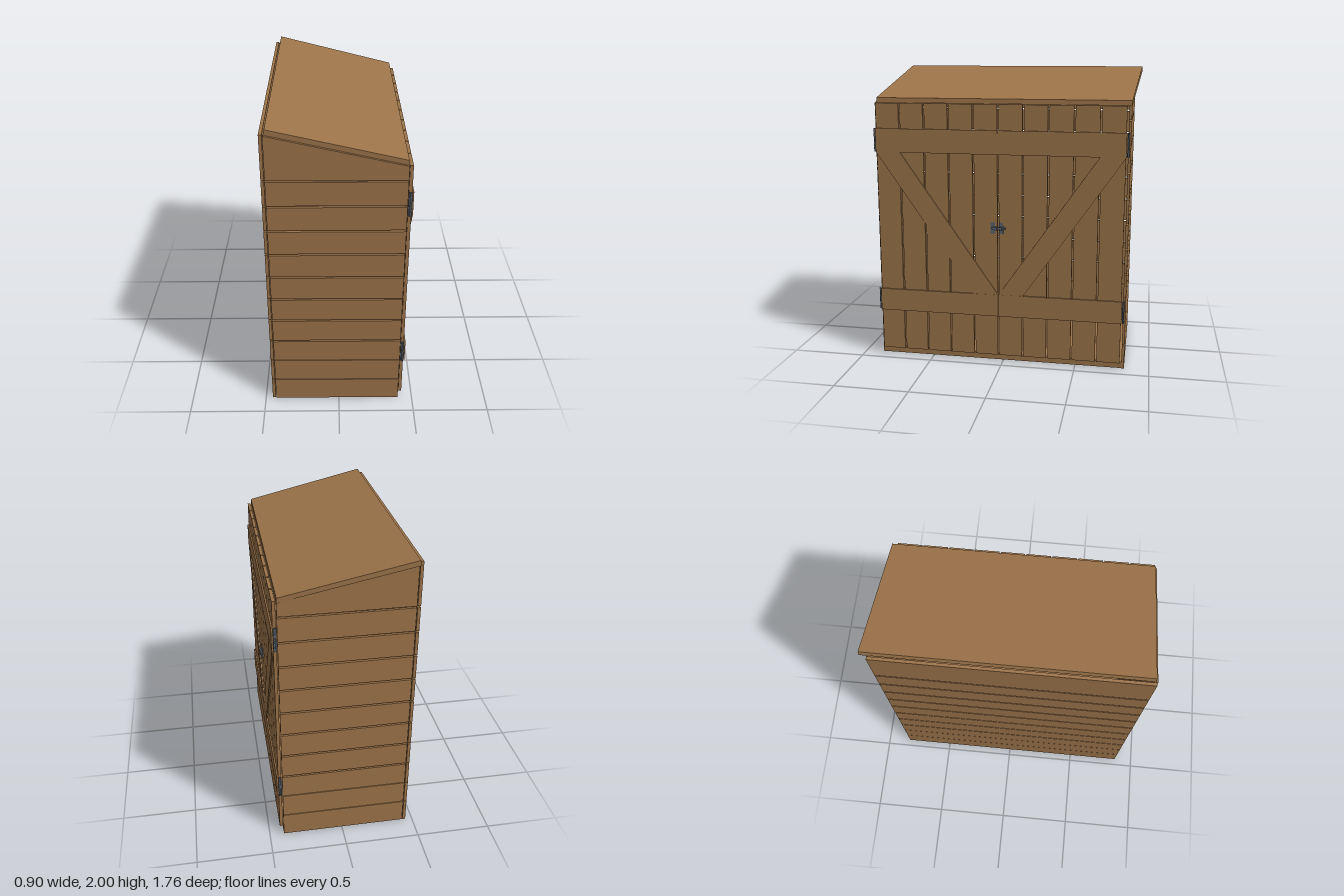
import * as THREE from 'three';

const wood = new THREE.MeshStandardMaterial({ color: 0x9e754a });
wood.name = 'wood';
const steel = new THREE.MeshStandardMaterial({ color: 0x5c6670 });
steel.name = 'steel';

// Box given by its minimum and maximum corners
function slab(name, x0, x1, y0, y1, z0, z1, material = wood) {
  const mesh = new THREE.Mesh(new THREE.BoxGeometry(x1 - x0, y1 - y0, z1 - z0), material);
  mesh.position.set((x0 + x1) / 2, (y0 + y1) / 2, (z0 + z1) / 2);
  mesh.name = name;
  return mesh;
}

function extruded(points, depth) {
  const shape = new THREE.Shape(points.map(([x, y]) => new THREE.Vector2(x, y)));
  return new THREE.ExtrudeGeometry(shape, { depth, bevelEnabled: false });
}

function named(name) {
  const group = new THREE.Group();
  group.name = name;
  return group;
}

export function createModel() {
  const shed = named('toolShed');
  const pitch = 0.1685, rows = 10;
  const zMin = -0.833, zMax = 0.873, wall = 0.018;
  const doorMid = 0.029, boardWidth = 0.1675;

  // Horizontal cladding: back wall and two end walls
  const backWall = named('backWall');
  const endWalls = [named('leftEndWall'), named('rightEndWall')];
  const endStarts = [zMax - wall, zMin];
  for (let i = 0; i < rows; i++) {
    const y0 = i * pitch;
    const y1 = y0 + pitch - (i < 2 ? 0.005 : 0.011);
    backWall.add(slab('backBoard', -0.454, -0.434, y0, y1, zMin, zMax - 0.006));
    endWalls.forEach((w, k) => w.add(slab('endBoard', -0.43, 0.404, y0, y1, endStarts[k], endStarts[k] + wall)));
  }
  const topY = rows * pitch;
  backWall.add(slab('backTopBoard', -0.454, -0.434, topY, 1.972, zMin, zMax - 0.006));
  endWalls.forEach((w, k) => {
    const geo = extruded([[-0.43, topY], [0.404, topY], [0.404, 1.774], [-0.43, 1.966]], wall);
    const gable = new THREE.Mesh(geo, wood);
    gable.position.z = endStarts[k];
    gable.name = 'gableBoard';
    w.add(gable);
  });
  shed.add(backWall, ...endWalls);

  // Floor
  shed.add(slab('floor', -0.42, 0.404, 0.002, 0.045, zMin + wall, zMax - wall));

  // Sloping roof, overhanging more towards the back at one end
  const roofGeo = extruded([[-0.428, 1.967], [0.404, 1.775], [0.402, 1.807], [-0.42, 2.0]], 1);
  const p = roofGeo.attributes.position;
  for (let i = 0; i < p.count; i++) {
    const t = (p.getX(i) + 0.42) / 0.825;
    p.setZ(i, p.getZ(i) > 0.5 ? 0.861 : THREE.MathUtils.lerp(-0.88, -0.833, t));
  }
  roofGeo.computeVertexNormals();
  const roof = new THREE.Mesh(roofGeo, wood);
  roof.name = 'roof';
  shed.add(roof);

  // Two mirrored doors with boards, battens, brace and hinges
  for (const s of [1, -1]) {
    const door = named(s > 0 ? 'leftDoor' : 'rightDoor');
    for (let i = 0; i < 5; i++) {
      const mid = doorMid + s * (i + 0.5) * boardWidth, half = boardWidth / 2 - 0.005;
      door.add(slab('doorBoard', 0.407, 0.428, 0.045, 1.774, mid - half, mid + half));
    }
    const a = doorMid + s * 0.001, b = doorMid + s * 0.836;
    for (const [y0, y1] of [[0.33, 0.484], [1.446, 1.605]]) {
      door.add(slab('batten', 0.428, 0.438, y0, y1, Math.min(a, b), Math.max(a, b)));

      // Hinge: leaf and barrel of stacked knuckles
      const hinge = named('hinge');
      const z = doorMid + s * 0.846;
      const n = 5, h = (y1 - y0) / n;
      for (let k = 0; k < n; k++) {
        const knuckle = new THREE.Mesh(new THREE.CylinderGeometry(0.007, 0.007, h - 0.003, 10), steel);
        knuckle.position.set(0.421, y0 + (k + 0.5) * h, z);
        knuckle.name = 'knuckle';
        hinge.add(knuckle);
      }
      hinge.add(slab('hingeLeaf', 0.406, 0.428, y0, y1, z - 0.002, z + 0.002, steel));
      door.add(hinge);
    }

    // Diagonal brace; shape drawn in (-z, y) and turned to face +x
    const pts = [[0.001, 0.484], [0.17, 0.484], [0.836, 1.446], [0.669, 1.446]]
      .map(([u, y]) => [-(doorMid + s * u), y]);
    const brace = new THREE.Mesh(extruded(pts, 0.009), wood);
    brace.rotation.y = Math.PI / 2;
    brace.position.x = 0.428;
    brace.name = 'brace';
    door.add(brace);
    shed.add(door);
  }

  // Sliding latch at the meeting of the doors
  const latch = named('latch');
  latch.add(
    slab('latchPlate', 0.428, 0.433, 0.912, 0.988, 0.05, 0.08, steel),
    slab('catchPlate', 0.428, 0.433, 0.912, 0.988, -0.006, 0.022, steel),
    slab('bolt', 0.433, 0.444, 0.942, 0.958, -0.022, 0.07, steel),
    slab('boltKeeper', 0.433, 0.45, 0.938, 0.962, 0.0, 0.015, steel),
    slab('boltGuide', 0.433, 0.45, 0.938, 0.962, 0.035, 0.05, steel),
  );
  shed.add(latch);
  return shed;
}
